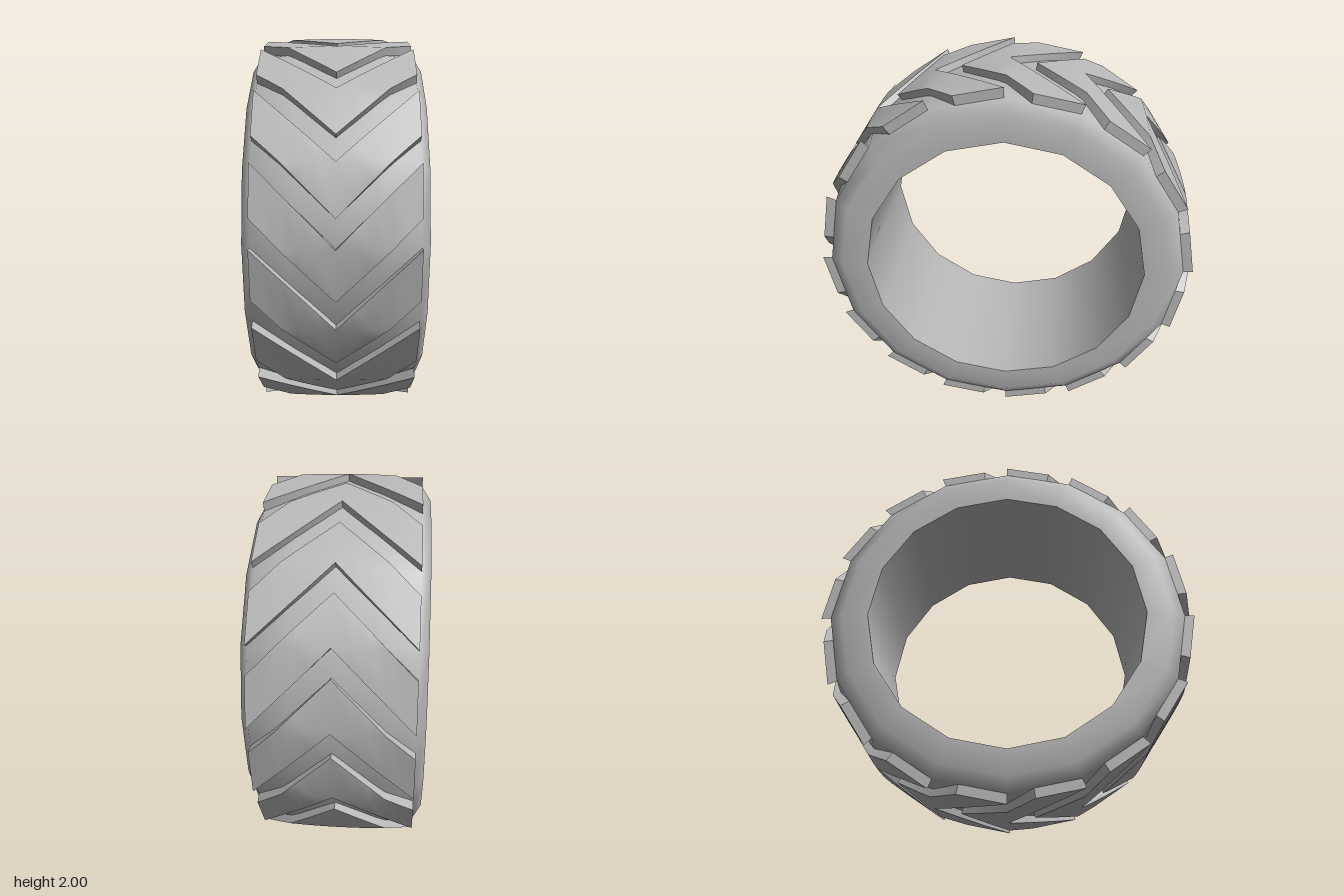
import * as THREE from 'three';
import { toCreasedNormals } from 'three/addons/utils/BufferGeometryUtils.js';

const SIDES = 16;
const STEP = (Math.PI * 2) / SIDES;
const HALF_TREAD = 0.385;   // half width of the tread band
const BLOCK = 0.253;        // angle covered by one tread block

// Crown of the tread: highest in the middle, lower at the shoulders
const crown = (x) => 1 - 0.015 * (x / HALF_TREAD) ** 2;

// Point on the sixteen-sided wheel; angle runs from the top towards the front
function onWheel(x, angle, radius) {
  const offset = angle - (Math.floor(angle / STEP + 1e-6) + 0.5) * STEP;
  const r = (radius * Math.cos(STEP / 2)) / Math.cos(offset);
  return new THREE.Vector3(x, r * Math.cos(angle), r * Math.sin(angle));
}

// One V-shaped block that bends over the facets of the wheel
function chevronGeometry() {
  const positions = [];
  const triangle = (a, b, c) => {
    if (new THREE.Triangle(a, b, c).getArea() < 1e-7) return;
    for (const p of [a, b, c]) positions.push(p.x, p.y, p.z);
  };
  const quad = (a, b, c, d) => {
    triangle(a, b, c);
    triangle(a, c, d);
  };

  const fold = HALF_TREAD * (BLOCK / STEP);
  const half = [0.09, 0.17, fold, 0.32, HALF_TREAD];
  const columns = [...half.map((x) => -x).reverse(), 0, ...half].map((x) => {
    const start = STEP * (1 - Math.abs(x) / HALF_TREAD);
    const end = start + BLOCK;
    const angles = [start, Math.min(STEP, end), end];
    return {
      top: angles.map((a) => onWheel(x, a, crown(x))),
      base: angles.map((a) => onWheel(x, a, crown(x) - 0.065)),
    };
  });

  for (let i = 0; i < columns.length - 1; i++) {
    const l = columns[i];
    const r = columns[i + 1];
    for (let k = 0; k < 2; k++) quad(l.top[k], l.top[k + 1], r.top[k + 1], r.top[k]);
    quad(l.base[2], r.base[2], r.top[2], l.top[2]);   // leading wall
    quad(r.base[0], l.base[0], l.top[0], r.top[0]);   // trailing wall
  }

  // End walls
  const l = columns[0];
  const r = columns[columns.length - 1];
  quad(r.base[2], r.base[0], r.top[0], r.top[2]);
  quad(l.base[0], l.base[2], l.top[2], l.top[0]);

  const geometry = new THREE.BufferGeometry();
  geometry.setAttribute('position', new THREE.Float32BufferAttribute(positions, 3));
  return toCreasedNormals(geometry, 0.6);
}

function lathe(profile) {
  const points = profile.map(([r, x]) => new THREE.Vector2(r, x));
  return new THREE.LatheGeometry(points, SIDES).rotateZ(-Math.PI / 2);
}

export function createModel() {
  const rubber = new THREE.MeshStandardMaterial({ color: 0xb8b8b8 });
  rubber.name = 'grey rubber';

  const tyre = new THREE.Group();
  tyre.name = 'tyre';
  tyre.position.y = 1;
  const add = (name, geometry) => {
    const mesh = new THREE.Mesh(geometry, rubber);
    mesh.name = name;
    tyre.add(mesh);
    return mesh;
  };

  // Carcass with sidewalls and rounded shoulders
  const side = [[0.73, 0.43], [0.865, 0.43], [0.935, HALF_TREAD], [0.958, 0.2]];
  add('carcass', lathe([
    ...side.map(([r, x]) => [r, -x]),
    [0.963, 0],
    ...[...side].reverse(),
  ]));

  // Inner bore, facing the axle
  add('innerBore', lathe([[0.73, 0.43], [0.73, -0.43]]));

  // Chevron tread blocks around the wheel
  const chevron = chevronGeometry();
  for (let i = 0; i < SIDES; i++) {
    add(`treadBlock${i + 1}`, chevron).rotation.x = i * STEP;
  }

  const model = new THREE.Group();
  model.name = 'model';
  model.add(tyre);
  return model;
}
